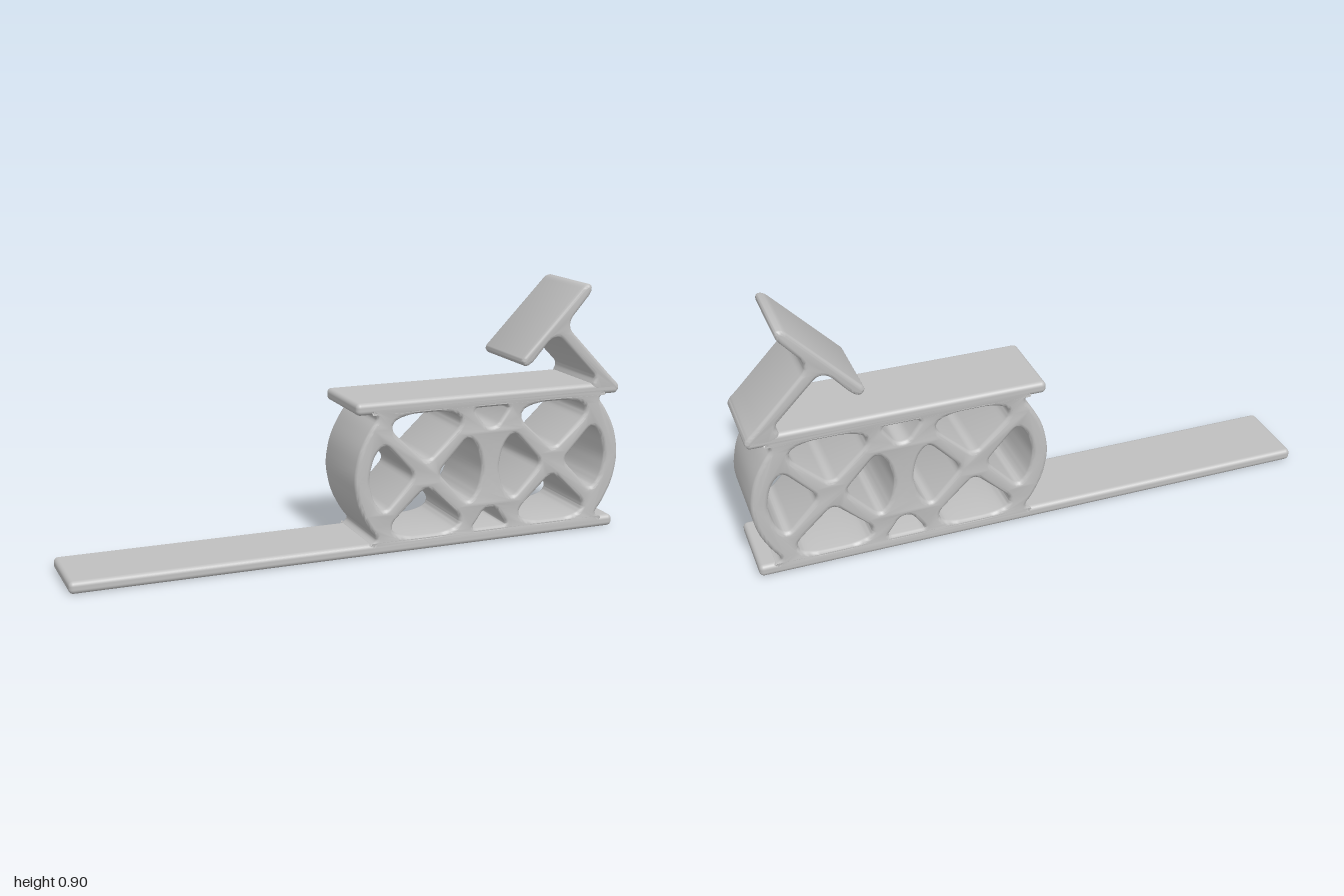
import * as THREE from 'three';
import { toCreasedNormals } from 'three/addons/utils/BufferGeometryUtils.js';
import { RoundedBoxGeometry } from 'three/addons/geometries/RoundedBoxGeometry.js';

const MID_X = 0.485, MID_Y = 0.272;

// Closed path through the points, every corner rounded
function roundedPath(points, radius, path) {
  const v = points.map(([x, y]) => new THREE.Vector2(x, y));
  if (THREE.ShapeUtils.area(v) < 0) v.reverse();
  const n = v.length;
  v.forEach((p, i) => {
    const toward = (q) => p.clone().lerp(q, Math.min(radius / p.distanceTo(q), 0.48));
    const a = toward(v[(i + n - 1) % n]), b = toward(v[(i + 1) % n]);
    if (i === 0) path.moveTo(a.x, a.y); else path.lineTo(a.x, a.y);
    path.quadraticCurveTo(p.x, p.y, b.x, b.y);
  });
  path.closePath();
  return path;
}

// Profile pulled along z, centred, with soft front and back edges
function softExtrude(shape, width, bevel) {
  const geo = new THREE.ExtrudeGeometry(shape, {
    depth: width - 2 * bevel, bevelEnabled: true, bevelThickness: bevel,
    bevelSize: bevel, bevelOffset: -bevel, bevelSegments: 3, curveSegments: 5,
  });
  geo.translate(0, 0, -width / 2 + bevel);
  return toCreasedNormals(geo, 0.75);
}

export function createModel() {
  const group = new THREE.Group();
  const grey = new THREE.MeshStandardMaterial({ color: 0xbfbfbf });
  grey.name = 'plain grey';
  const add = (name, geo, x = 0, y = 0) => {
    const mesh = new THREE.Mesh(geo, grey);
    mesh.name = name;
    mesh.position.set(x, y, 0);
    group.add(mesh);
  };

  // Long base plate and top plate
  add('basePlate', new RoundedBoxGeometry(1.99, 0.042, 0.28, 4, 0.016), -0.005, 0.021);
  add('topPlate', new RoundedBoxGeometry(1.01, 0.042, 0.292, 4, 0.016), 0.485, 0.519);

  // Twin-ring frame outline: left edge mirrored down, then across
  const upper = [[0.015, 0.512], [0.063, 0.488], [0.03, 0.45], [-0.012, 0.37]];
  const left = [...upper, [-0.03, MID_Y],
    ...upper.map(([x, y]) => [x, 2 * MID_Y - y]).reverse()];
  const right = left.map(([x, y]) => [2 * MID_X - x, y]).reverse();
  const frame = roundedPath([...left, ...right], 0.04, new THREE.Shape());

  // Four holes per ring, leaving crossed spokes
  const topHole = [[0, 0.043], [0.13, 0.163], [0.122, 0.2], [0.06, 0.217],
    [-0.06, 0.217], [-0.122, 0.2], [-0.13, 0.163]];
  const sideHole = [[0.043, 0], [0.158, 0.122], [0.195, 0.08], [0.214, 0],
    [0.195, -0.08], [0.158, -0.122]];
  const cut = (points, r) => frame.holes.push(roundedPath(points, r, new THREE.Path()));
  for (const cx of [0.24, 0.73]) {
    for (const s of [1, -1]) {
      cut(topHole.map(([x, y]) => [cx + x, MID_Y + s * y]), 0.03);
      cut(sideHole.map(([x, y]) => [cx + s * x, MID_Y + y]), 0.03);
    }
  }

  // Small gaps between the rings, above and below
  for (const s of [1, -1]) {
    cut([[-0.07, 0.217], [0.07, 0.217], [0.02, 0.147], [-0.02, 0.147]]
      .map(([x, y]) => [MID_X + x, MID_Y + s * y]), 0.02);
  }
  add('ringFrame', softExtrude(frame, 0.294, 0.014));

  // Slanted head plate on an angled arm with a flared foot
  const head = roundedPath([
    [0.592, 0.642], [0.612, 0.618], [0.64, 0.632], [0.71, 0.712], [0.745, 0.718],
    [0.895, 0.565], [0.875, 0.53], [0.9, 0.508], [0.992, 0.505], [0.992, 0.53],
    [0.96, 0.56], [0.785, 0.742], [0.785, 0.775], [0.866, 0.868], [0.866, 0.896],
    [0.84, 0.897],
  ], 0.02, new THREE.Shape());
  add('headPlateAndArm', softExtrude(head, 0.292, 0.012));

  return group;
}
